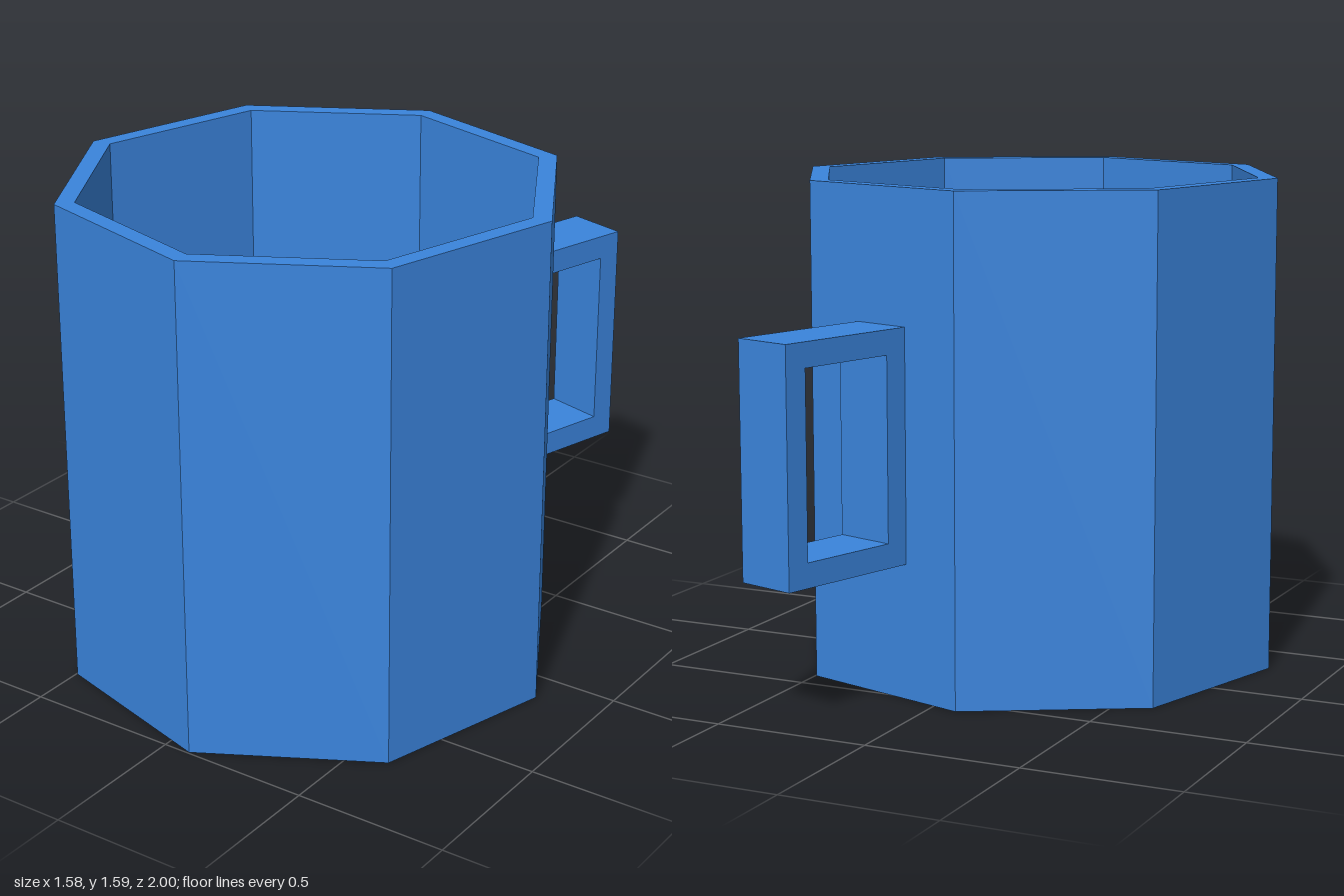
import * as THREE from 'three';

const SIDES = 8;
const TURN = 0.11;            // twist of the octagon about its axis
const RADIUS = 0.793, INNER = 0.731, HEIGHT = 1.59, FLOOR = 0.06;

export function createModel() {
  const group = new THREE.Group();
  group.name = 'mug';
  const blue = new THREE.MeshStandardMaterial({ color: 0x3a84dc, flatShading: true });

  // Hollow eight-sided cup: base, outer wall, rim, inner wall, floor
  const profile = [
    [0, 0], [RADIUS, 0], [RADIUS, HEIGHT], [INNER, HEIGHT], [INNER, FLOOR], [0, FLOOR],
  ].map(([x, y]) => new THREE.Vector2(x, y));
  const cup = new THREE.Mesh(new THREE.LatheGeometry(profile, SIDES, TURN), blue);
  cup.name = 'cup';

  // Rectangular handle loop standing out from the middle of one wall face
  const rect = (target, x0, y0, x1, y1) =>
    target.moveTo(x0, y0).lineTo(x1, y0).lineTo(x1, y1).lineTo(x0, y1).closePath();
  const wall = RADIUS * Math.cos(Math.PI / SIDES);
  const end = 1.228, bar = 0.078, low = 0.43, high = 1.167, width = 0.2;
  const shape = new THREE.Shape();
  rect(shape, wall, low, end, high);
  const hole = new THREE.Path();
  rect(hole, wall + bar, low + bar, end - bar, high - bar);
  shape.holes.push(hole);
  const loop = new THREE.ExtrudeGeometry(shape, { depth: width, bevelEnabled: false });
  loop.translate(0, 0, -width / 2);
  const handle = new THREE.Mesh(loop, blue);
  handle.name = 'handle';
  handle.rotation.y = TURN + 3.5 * (2 * Math.PI / SIDES) - Math.PI / 2;

  group.add(cup, handle);
  group.position.z = 0.207;   // centres cup and handle together
  const model = new THREE.Group();
  model.add(group);
  return model;
}
